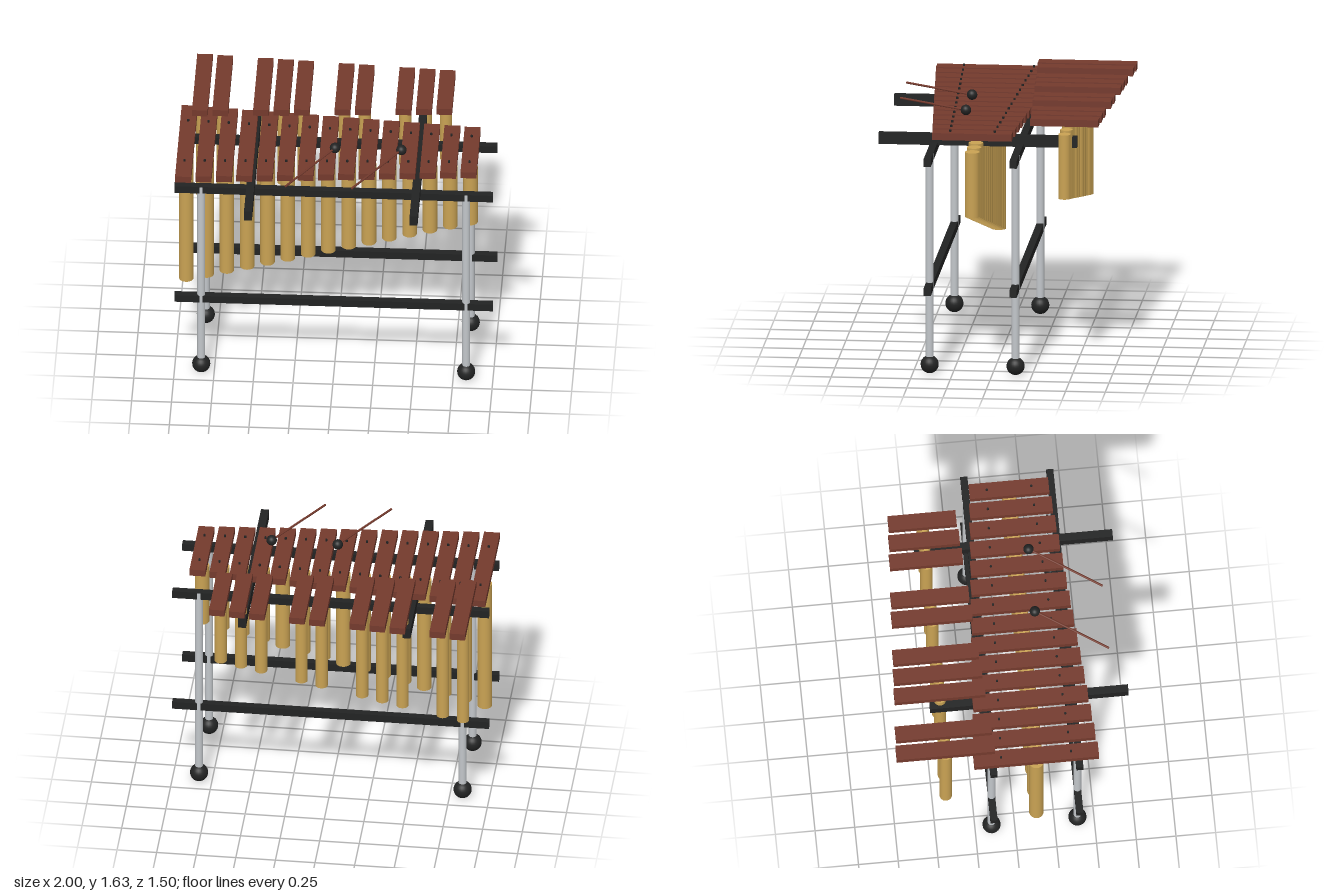
import * as THREE from 'three';

const material = (name, color) => {
  const m = new THREE.MeshStandardMaterial({ color });
  m.name = name;
  return m;
};

export function createModel() {
  const model = new THREE.Group();
  model.name = 'marimba';
  const wood = material('rosewood', 0x743a2d);
  const brass = material('brass', 0xc9a253);
  const steel = material('steel', 0xc2c6ca);
  const black = material('black', 0x222323);

  const add = (name, geometry, mat, x, y, z) => {
    const mesh = new THREE.Mesh(geometry, mat);
    mesh.name = name;
    mesh.position.set(x, y, z);
    model.add(mesh);
    return mesh;
  };
  const box = (name, mat, w, h, d, x, y, z) =>
    add(name, new THREE.BoxGeometry(w, h, d), mat, x, y, z);
  // Upright cylinder given by its bottom and top heights
  const post = (name, mat, r, y0, y1, x, z, sides = 24) =>
    add(name, new THREE.CylinderGeometry(r, r, y1 - y0, sides), mat, x, (y0 + y1) / 2, z);

  // Frame: long rails, legs and ball feet
  for (const z of [0.395, -0.146]) {
    box('upperRail', black, 2, 0.05, 0.045, 0, 1.394, z);
    box('lowerRail', black, 2, 0.05, 0.045, 0, 0.562, z);
    for (const x of [-0.832, 0.832]) {
      post('leg', steel, 0.025, 0.06, 1.415, x, z);
      add('foot', new THREE.SphereGeometry(0.057, 24, 16), black, x, 0.058, z);
    }
  }

  // Cross bars carrying the keys
  for (const x of [-0.52, 0.52]) box('crossBar', black, 0.05, 0.07, 1.25, x, 1.437, 0.12);

  // Front row: keys, cord pegs and resonator tubes
  const keyX = (i) => -0.94 + 0.1275 * i;
  for (let i = 0; i < 15; i++) {
    const length = 0.786 - 0.0204 * i;
    box('naturalKey', wood, 0.1, 0.045, length, keyX(i), 1.54, 0.124);
    for (const side of [-1, 1])
      post('keyPeg', black, 0.007, 1.51, 1.575, keyX(i), 0.124 + side * 0.28 * length, 10);
    post('naturalResonator', brass, 0.046, 0.52 + 0.0355 * i, 1.435, keyX(i), 0.126);
  }

  // Back row: raised keys in groups of two and three, with their resonators
  for (const i of [0, 1, 3, 4, 5, 7, 8, 10, 11, 12]) {
    const x = keyX(i) + 0.071;
    box('sharpKey', wood, 0.098, 0.045, 0.62 - 0.016 * i, x, 1.6, -0.441);
    post('sharpResonator', brass, 0.039, 0.773 + 0.0276 * i, 1.518, x, -0.438);
  }

  // Mallets resting above the keys
  for (const x of [-0.002, 0.415]) {
    const head = new THREE.Vector3(x, 1.602, 0.206);
    const tail = new THREE.Vector3(x - 0.288, 1.602, 0.645);
    add('malletHead', new THREE.SphereGeometry(0.033, 20, 14), black, ...head);
    const path = new THREE.LineCurve3(head, tail);
    const stick = post('malletStick', wood, 0.007, 0, path.getLength(), 0, 0, 10);
    stick.position.copy(path.getPoint(0.5));
    stick.quaternion.setFromUnitVectors(new THREE.Vector3(0, 1, 0), path.getTangent(0));
  }

  return model;
}
